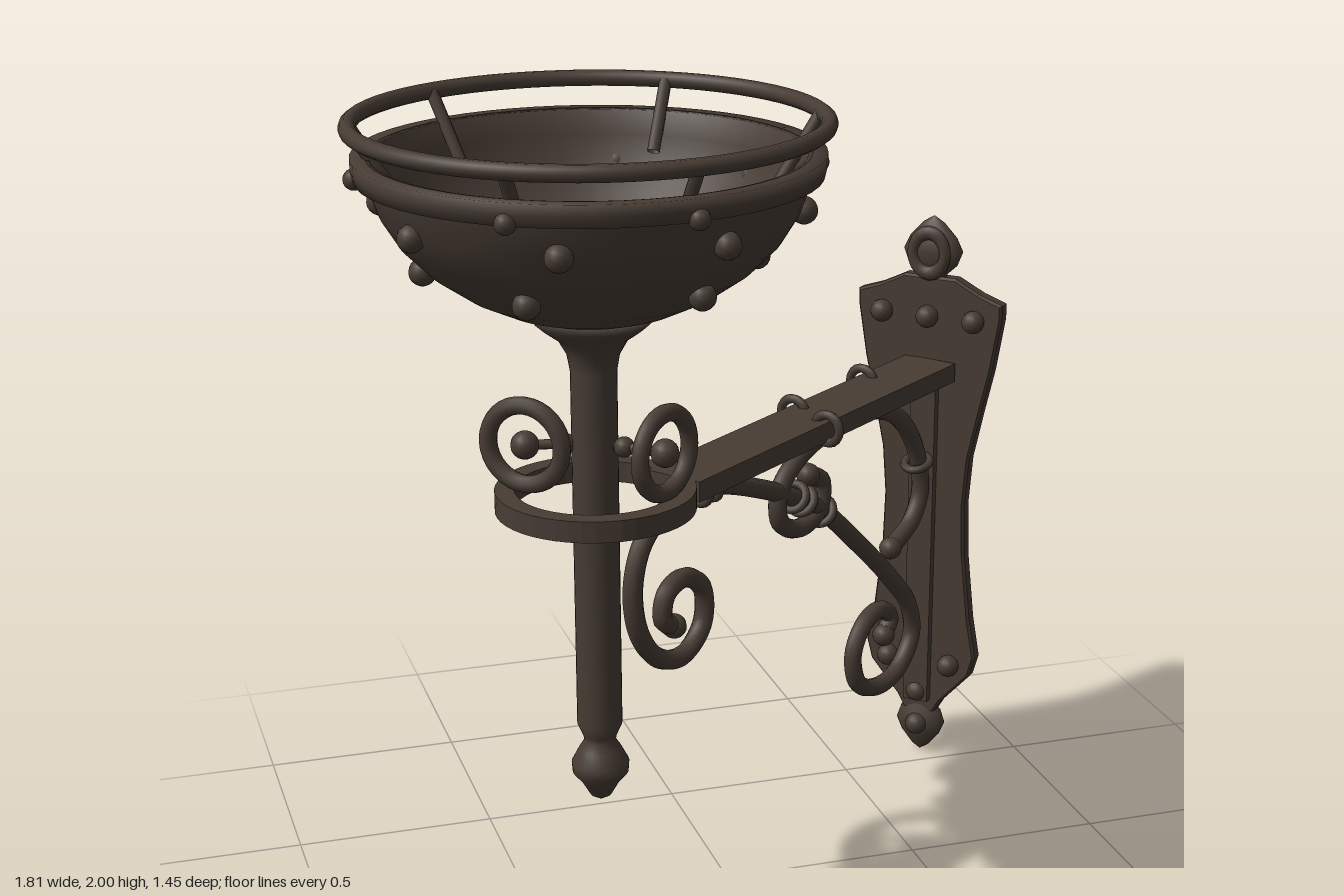
import * as THREE from 'three';

const iron = new THREE.MeshStandardMaterial({ color: 0x473c34 });
iron.name = 'dark iron';
iron.side = THREE.DoubleSide;

const V2 = (a) => a.map(([x, y]) => new THREE.Vector2(x, y));

function add(parent, geo, name, x = 0, y = 0, z = 0) {
  const m = new THREE.Mesh(geo, iron);
  m.name = name;
  m.position.set(x, y, z);
  parent.add(m);
  return m;
}

// Straight round bar between two points
function rod(parent, a, b, r, name) {
  const path = new THREE.LineCurve3(new THREE.Vector3(...a), new THREE.Vector3(...b));
  return add(parent, new THREE.TubeGeometry(path, 1, r, 8), name);
}

const ball = (parent, r, name, x, y, z) => add(parent, new THREE.SphereGeometry(r, 14, 10), name, x, y, z);

// Vertical plane of the arm: depth for a given x
const SLOPE = 0.768, ANGLE = Math.atan(SLOPE);
const armZ = (x) => -0.55 + (0.74 - x) * SLOPE;

function scroll(parent, pts, name) {
  const v = pts.map(([x, y]) => new THREE.Vector3(x, y, armZ(x)));
  const curve = new THREE.CatmullRomCurve3(v, false, 'centripetal');
  add(parent, new THREE.TubeGeometry(curve, pts.length * 7, 0.024, 10), name);
  for (const p of [v[0], v[v.length - 1]]) ball(parent, 0.03, name + 'End', p.x, p.y, p.z);
}

function createPost() {
  const g = new THREE.Group();
  g.name = 'postAndBowl';
  g.position.set(-0.37, 0, 0.18);

  // Post with flared head and pointed bottom finial
  add(g, new THREE.LatheGeometry(V2([
    [0, 0.36], [0.025, 0.375], [0.045, 0.41], [0.066, 0.435], [0.068, 0.46], [0.05, 0.495], [0.037, 0.515],
    [0.04, 0.53], [0.053, 0.56], [0.053, 1.42], [0.06, 1.46], [0.08, 1.495], [0.115, 1.52], [0.132, 1.535],
    [0.132, 1.55], [0, 1.56]]), 28), 'post');

  // Hollow bowl
  add(g, new THREE.LatheGeometry(V2([
    [0, 1.545], [0.13, 1.55], [0.2, 1.572], [0.28, 1.61], [0.36, 1.665], [0.42, 1.725], [0.46, 1.79], [0.485, 1.86],
    [0.495, 1.915], [0.475, 1.915], [0.462, 1.86], [0.435, 1.79], [0.39, 1.725], [0.33, 1.67], [0.25, 1.625],
    [0.15, 1.59], [0, 1.58]]), 56), 'bowl');
  add(g, new THREE.LatheGeometry(V2([
    [0.48, 1.867], [0.512, 1.867], [0.518, 1.892], [0.518, 1.917], [0.485, 1.917]]), 56), 'bowlBand');

  // Raised rim on six slanted struts
  add(g, new THREE.TorusGeometry(0.52, 0.019, 10, 64).rotateX(Math.PI / 2), 'rim', 0, 1.981, 0);
  for (const deg of [-120, -55, 188, 6.5, 124, 79]) {
    const a = deg * Math.PI / 180, c = Math.cos(a), s = Math.sin(a);
    rod(g, [0.42 * c, 1.83, 0.42 * s], [0.512 * c, 1.98, 0.512 * s], 0.015, 'rimStrut');
    ball(g, 0.024, 'bandRivet', 0.51 * c, 1.872, 0.51 * s);
  }

  // Two rows of studs
  const studs = (n, start, r, y, name) => {
    for (let i = 0; i < n; i++) {
      const a = start + i * 2 * Math.PI / n;
      ball(g, 0.031, name, r * Math.sin(a), y, r * Math.cos(a));
    }
  };
  studs(6, 0.42, 0.372, 1.665, 'lowerStud');
  studs(8, Math.PI / 8, 0.467, 1.795, 'upperStud');

  // Flat hoop around the post
  add(g, new THREE.LatheGeometry(V2([
    [0.185, 1.093], [0.23, 1.093], [0.23, 1.143], [0.185, 1.143], [0.185, 1.093]]), 48).toNonIndexed(), 'hoop')
    .geometry.computeVertexNormals();

  // Upright loops standing on the hoop, each pinned to the post
  for (const [x, z, turn] of [[-0.155, -0.03, -0.7], [0.13, 0.12, ANGLE]]) {
    const loop = add(g, new THREE.TorusGeometry(0.093, 0.021, 10, 32), 'loop', x, 1.25, z);
    loop.rotation.y = turn;
    rod(g, [0, 1.25, 0], [x, 1.25, z], 0.012, 'loopPin');
    ball(g, 0.033, 'loopBall', x, 1.25, z);
    ball(g, 0.024, 'loopSmallBall', x * 0.42, 1.25, z * 0.42);
  }
  return g;
}

function createArm() {
  const g = new THREE.Group();
  g.name = 'arm';

  // Flat bar
  const x0 = -0.18, x1 = 0.735, mid = (x0 + x1) / 2;
  const bar = add(g, new THREE.BoxGeometry((x1 - x0) / Math.cos(ANGLE), 0.05, 0.15), 'armBar', mid, 1.118, armZ(mid));
  bar.rotation.y = ANGLE;

  // Long brace curling at both ends, and the smaller curl beside the plate
  scroll(g, [[-0.18, 0.77], [-0.215, 0.8], [-0.205, 0.86], [-0.15, 0.88], [-0.09, 0.83], [-0.09, 0.74], [-0.15, 0.685],
    [-0.23, 0.71], [-0.29, 0.8], [-0.305, 0.92], [-0.27, 1.02], [-0.18, 1.075], [-0.06, 1.075], [0.1, 1.01],
    [0.3, 0.89], [0.45, 0.74], [0.6, 0.57], [0.67, 0.47], [0.685, 0.38], [0.63, 0.3], [0.55, 0.285], [0.47, 0.33],
    [0.45, 0.42], [0.49, 0.49], [0.555, 0.505], [0.595, 0.465], [0.57, 0.425]], 'braceScroll');
  scroll(g, [[0.59, 0.665], [0.67, 0.71], [0.705, 0.78], [0.69, 0.89], [0.63, 1], [0.54, 1.065], [0.4, 1.08],
    [0.25, 1.05], [0.17, 0.98], [0.17, 0.9], [0.24, 0.855], [0.31, 0.88], [0.32, 0.95], [0.27, 0.985]], 'smallScroll');

  // Wire ties where the scrolls cross and touch the bar
  for (const [x, y, tilt] of [[0.22, 0.945, -0.55], [0.25, 0.925, -0.55], [0.32, 0.87, -0.6], [0.69, 0.87, 1.9],
    [-0.1, 1.08, 0], [-0.07, 1.08, 0.2]]) {
    const tie = add(g, new THREE.TorusGeometry(0.034, 0.011, 8, 18).rotateY(Math.PI / 2).rotateZ(tilt), 'tie', x, y, armZ(x));
    tie.rotation.y = ANGLE;
  }

  // Clips hooked over the edges of the bar
  for (const [x, side] of [[0.555, -1], [0.3, -1], [0.25, 1]]) {
    const clip = add(g, new THREE.TorusGeometry(0.036, 0.012, 8, 18).rotateY(Math.PI / 2), 'barClip',
      x + side * 0.07 * Math.sin(ANGLE), 1.125, armZ(x) + side * 0.07 * Math.cos(ANGLE));
    clip.rotation.y = ANGLE;
  }
  return g;
}

function createPlate() {
  const g = new THREE.Group();
  g.name = 'wallPlate';
  g.position.set(0.745, 0, -0.571);
  g.rotation.y = -Math.PI / 4;

  // Waisted plate, mirrored about its centre line
  const half = [[0.04, 0.13], [0.06, 0.165], [0.14, 0.255], [0.155, 0.31], [0.135, 0.42], [0.115, 0.6], [0.11, 0.75],
    [0.12, 0.88], [0.15, 1.02], [0.175, 1.13], [0.198, 1.27], [0.198, 1.305], [0.14, 1.325], [0.07, 1.36]];
  const outline = half.concat(half.map(([x, y]) => [-x, y]).reverse());
  const geo = new THREE.ExtrudeGeometry(new THREE.Shape(V2(outline)), {
    depth: 0.028, bevelThickness: 0.008, bevelSize: 0.006, bevelSegments: 1 }).translate(0, 0, -0.014);
  add(g, geo, 'plate');
  add(g, new THREE.BoxGeometry(0.07, 0.95, 0.03), 'plateRib', 0, 0.64, 0.03);

  // Flattened leaf-shaped finials
  const tip = V2([[0, 0], [0.025, 0.018], [0.055, 0.055], [0.07, 0.09], [0.058, 0.125], [0.035, 0.15], [0.03, 0.175]]);
  const bottom = add(g, new THREE.LatheGeometry(tip, 20), 'bottomFinial');
  bottom.scale.z = 0.55;
  const top = add(g, new THREE.LatheGeometry(tip, 20), 'topFinial', 0, 1.525, 0);
  top.rotation.z = Math.PI;
  top.scale.set(1.18, 1.02, 0.55);
  add(g, new THREE.TorusGeometry(0.045, 0.016, 8, 20), 'finialRing', 0, 1.43, 0.03).scale.y = 1.2;

  // Studs on the front face
  for (const [x, y] of [[-0.13, 1.26], [0, 1.26], [0.13, 1.26], [-0.09, 0.28], [0.09, 0.28], [0, 0.19], [0, 0.09]]) {
    ball(g, 0.03, 'plateStud', x, y, 0.033);
  }
  return g;
}

export function createModel() {
  const model = new THREE.Group();
  model.name = 'wallBrazier';
  model.add(createPost(), createArm(), createPlate());
  return model;
}
